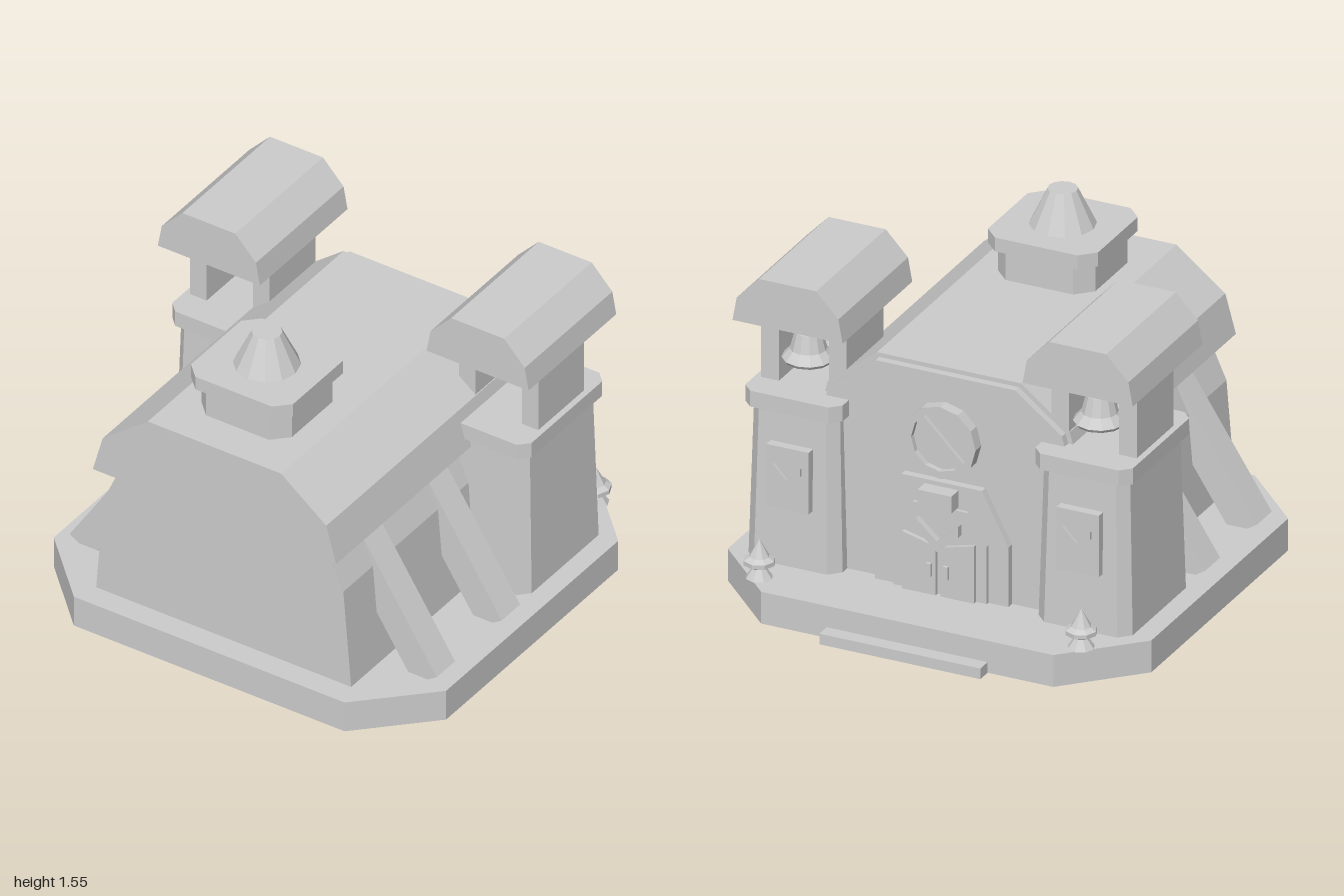
import * as THREE from 'three';

const stone = new THREE.MeshStandardMaterial({ color: 0xcccccc, side: THREE.DoubleSide });
stone.name = 'stone grey';

// Octagonal outline (rectangle with cut corners), counter-clockwise from above
function octagon(hx, hz, cut, y) {
  const a = hx - cut, b = hz - cut;
  return [[hx, b], [hx, -b], [a, -hz], [-a, -hz], [-hx, -b], [-hx, b], [-a, hz], [a, hz]]
    .map(([x, z]) => [x, y, z]);
}

// Flat-faced solid through a stack of rings, capped on top and optionally below
function loft(rings, closedBottom = true) {
  const pos = [];
  const tri = (a, b, c) => pos.push(...a, ...b, ...c);
  const n = rings[0].length;
  for (let r = 0; r < rings.length - 1; r++) {
    for (let i = 0; i < n; i++) {
      const j = (i + 1) % n, lo = rings[r], hi = rings[r + 1];
      tri(lo[i], lo[j], hi[j]);
      tri(lo[i], hi[j], hi[i]);
    }
  }
  const top = rings[rings.length - 1], bottom = rings[0];
  for (let i = 1; i < n - 1; i++) {
    tri(top[0], top[i], top[i + 1]);
    if (closedBottom) tri(bottom[0], bottom[i + 1], bottom[i]);
  }
  const g = new THREE.BufferGeometry();
  g.setAttribute('position', new THREE.Float32BufferAttribute(pos, 3));
  g.computeVertexNormals();
  return g;
}

// Profile in x and y, extruded between two z values
function slab(points, z0, z1) {
  const shape = new THREE.Shape(points.map(([x, y]) => new THREE.Vector2(x, y)));
  const g = new THREE.ExtrudeGeometry(shape, { depth: z1 - z0, bevelEnabled: false });
  return g.translate(0, 0, z0);
}

// Right half of a profile, mirrored into a full outline
const mirrored = half => [...half, ...half.map(([x, y]) => [-x, y]).reverse()];

function box(x0, x1, y0, y1, z0, z1) {
  return new THREE.BoxGeometry(x1 - x0, y1 - y0, z1 - z0)
    .translate((x0 + x1) / 2, (y0 + y1) / 2, (z0 + z1) / 2);
}

// Turned part with faceted sides
function turned(points, sides) {
  const g = new THREE.LatheGeometry(points.map(([r, y]) => new THREE.Vector2(r, y)), sides).toNonIndexed();
  g.computeVertexNormals();
  return g;
}

// V-shaped mark
function chevron(cx, top, w, h, t, z0, z1) {
  return slab([[cx - w, top], [cx - w, top - t], [cx, top - h], [cx + w, top - t],
    [cx + w, top], [cx, top - h + t]], z0, z1);
}

export function createModel() {
  const root = new THREE.Group();
  root.name = 'bellHouse';
  const add = (name, geometry, parent = root) => {
    const mesh = new THREE.Mesh(geometry, stone);
    mesh.name = name;
    parent.add(mesh);
    return mesh;
  };

  // Hollow plinth and entrance step
  add('plinth', loft([octagon(1, 0.965, 0.31, 0), octagon(1, 0.965, 0.31, 0.15)], false)).position.z = 0.035;
  const corners = y => [[0.38, y, -0.86], [0.38, y, -1], [-0.38, y, -1], [-0.38, y, -0.86]];
  add('entranceStep', loft([corners(0), corners(0.05)], false));

  // Hall, roof and entrance facade
  add('hallWalls', slab(mirrored([[0.65, 0.15], [0.61, 0.63], [0.52, 0.83]]), -0.52, 0.89));
  add('hallRoof', slab(mirrored([[0.62, 0.82], [0.57, 1], [0.34, 1.18]]), -0.53, 0.96));
  add('facade', slab(mirrored([[0.62, 0.15], [0.6, 0.82], [0.55, 0.99], [0.33, 1.16]]), -0.565, -0.5));

  // Roof turret
  const turret = new THREE.Group();
  turret.name = 'turret';
  turret.position.z = 0.56;
  root.add(turret);
  add('turretBody', loft([octagon(0.23, 0.225, 0.07, 1.17), octagon(0.23, 0.225, 0.07, 1.33)]), turret);
  add('turretCap', loft([octagon(0.26, 0.255, 0.065, 1.32), octagon(0.26, 0.255, 0.065, 1.385)]), turret);
  add('turretCone', turned([[0, 1.38], [0.145, 1.385], [0.065, 1.55], [0, 1.55]], 12), turret);

  // Entrance: arched surround, door leaves, plaque and medallion
  add('doorSurround', slab(mirrored([[0.315, 0.15], [0.315, 0.43], [0.19, 0.67]]), -0.6, -0.55));
  add('doorArch', slab(mirrored([[0.22, 0.15], [0.22, 0.42], [0.13, 0.56]]), -0.615, -0.59));
  for (const s of [-1, 1]) {
    add('doorLeaf', slab([[0.012 * s, 0.15], [0.17 * s, 0.15], [0.17 * s, 0.42], [0.012 * s, 0.38]], -0.635, -0.61));
    add('doorHandle', box(s * 0.04 - 0.012, s * 0.04 + 0.012, 0.24, 0.3, -0.65, -0.63));
  }
  add('doorChevron', chevron(0, 0.5, 0.1, 0.14, 0.05, -0.645, -0.61));
  add('doorPlaque', box(-0.08, 0.08, 0.57, 0.65, -0.67, -0.59));
  const medallion = new THREE.Group();
  medallion.name = 'medallion';
  medallion.position.set(0, 0.865, -0.56);
  root.add(medallion);
  const ring = new THREE.Shape().absarc(0, 0, 0.17, 0, Math.PI * 2);
  ring.holes.push(new THREE.Path().absarc(0, 0, 0.135, 0, Math.PI * 2, true));
  add('medallionRing', new THREE.ExtrudeGeometry(ring, { depth: 0.06, bevelEnabled: false, curveSegments: 6 })
    .translate(0, 0, -0.06), medallion);
  add('medallionDisc', new THREE.CylinderGeometry(0.145, 0.145, 0.035, 12).rotateX(Math.PI / 2)
    .translate(0, 0, -0.017), medallion);
  add('medallionBar', box(-0.14, 0.14, -0.02, 0.02, -0.055, 0), medallion).rotation.z = Math.PI / 4;

  for (const s of [-1, 1]) {
    // Bell tower
    const tower = new THREE.Group();
    tower.name = s > 0 ? 'leftTower' : 'rightTower';
    tower.position.set(0.685 * s, 0, -0.355);
    root.add(tower);
    add('towerBody', loft([octagon(0.222, 0.305, 0.05, 0.15), octagon(0.203, 0.285, 0.045, 0.88)]), tower);
    add('towerLedge', loft([octagon(0.23, 0.315, 0.045, 0.87), octagon(0.23, 0.315, 0.045, 0.945)]), tower);
    for (const side of [-1, 1]) {
      const x = side * 0.16;
      add('belfryPost', box(x - 0.042, x + 0.042, 0.94, 1.28, -0.175, 0.175), tower);
    }
    add('belfryRoof', slab(mirrored([[0.26, 1.27], [0.24, 1.38], [0.135, 1.49]]), -0.332, 0.335), tower);
    add('towerPanel', box(-0.1, 0.1, 0.43, 0.72, -0.332, -0.28), tower);
    add('panelChevron', chevron(0, 0.64, 0.065, 0.1, 0.035, -0.345, -0.325), tower);

    // Bell with clapper
    const bell = new THREE.Group();
    bell.name = 'bell';
    bell.position.set(0.003 * s, 0, -0.125);
    tower.add(bell);
    add('bellBody', turned([[0, 1.06], [0.105, 1.05], [0.115, 1.065], [0.08, 1.105], [0.06, 1.185],
      [0.03, 1.19], [0.03, 1.235], [0.018, 1.24], [0.018, 1.28]], 12), bell);
    add('bellClapper', turned([[0, 1.02], [0.02, 1.02], [0.014, 1.045], [0.014, 1.07]], 8), bell);

    // Leaning buttresses
    for (const z of [0.1, 0.595]) {
      add('buttress', slab([[0.935, 0.18], [0.52, 0.82], [0.404, 0.745], [0.819, 0.105]]
        .map(([x, y]) => [x * s, y]), z - 0.07, z + 0.07));
    }

    // Corner finial
    add('finial', turned([[0, 0.15], [0.06, 0.15], [0.028, 0.195], [0.07, 0.215], [0.07, 0.235],
      [0.045, 0.25], [0, 0.33]], 8)).position.set(0.76 * s, 0, -0.805);
  }
  return root;
}
